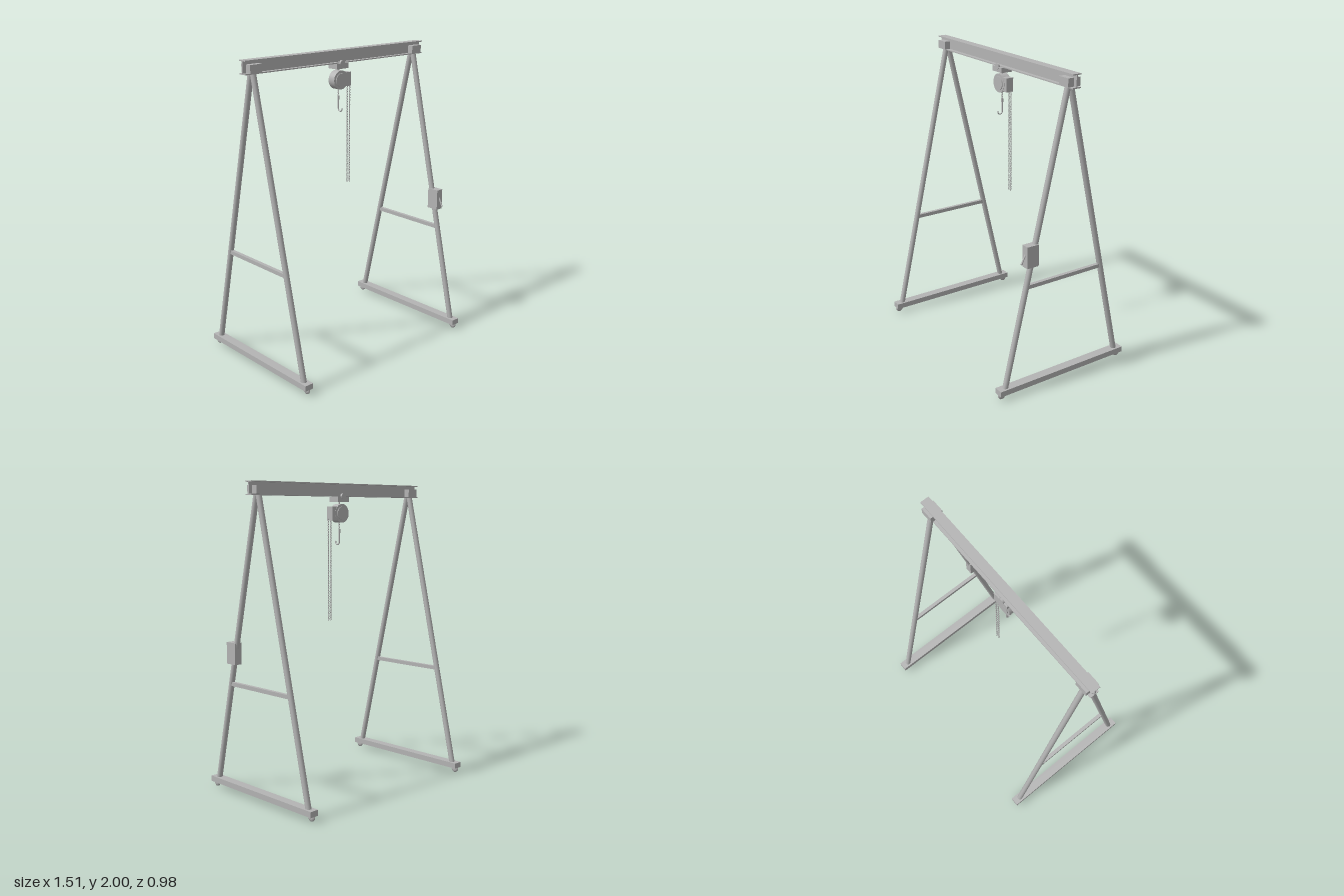
import * as THREE from 'three';

const steel = new THREE.MeshStandardMaterial({ color: 0xb4b4b4 });
steel.name = 'grey steel';

function add(parent, name, geometry, x = 0, y = 0, z = 0) {
  const mesh = new THREE.Mesh(geometry, steel);
  mesh.name = name;
  mesh.position.set(x, y, z);
  parent.add(mesh);
  return mesh;
}

const box = (w, h, d) => new THREE.BoxGeometry(w, h, d);

// Round bar between two points
function bar(parent, name, a, b, radius, sides = 20) {
  const dir = b.clone().sub(a);
  const mid = a.clone().add(b).multiplyScalar(0.5);
  const mesh = add(parent, name, new THREE.CylinderGeometry(radius, radius, dir.length(), sides), mid.x, mid.y, mid.z);
  mesh.quaternion.setFromUnitVectors(new THREE.Vector3(0, 1, 0), dir.normalize());
  return mesh;
}

const V = (x, y, z) => new THREE.Vector3(x, y, z);

// Links hang downwards, each turned a quarter against the last
function chain(name, x, top, bottom) {
  const group = new THREE.Group();
  group.name = name;
  const geometry = new THREE.TorusGeometry(0.0045, 0.0017, 6, 12).scale(1, 1.9, 1);
  const count = Math.round((top - bottom) / 0.0165);
  const pitch = (top - bottom) / count;
  for (let i = 0; i < count; i++) {
    const link = add(group, 'chainLink', geometry, x, top - (i + 0.5) * pitch, 0);
    link.rotation.y = i % 2 ? Math.PI / 2 : 0;
  }
  return group;
}

function sideFrame(x) {
  const frame = new THREE.Group();
  frame.name = x > 0 ? 'leftFrame' : 'rightFrame';
  frame.position.x = x;
  add(frame, 'beamBracket', box(0.086, 0.052, 0.087), 0, 1.948, 0);
  add(frame, 'footRail', box(0.06, 0.037, 0.98), 0, 0.0525, 0);
  add(frame, 'crossBar', box(0.024, 0.025, 0.55), 0, 0.723, 0);
  // Tapered wheel rim, turned to roll along z
  const wheelGeometry = new THREE.LatheGeometry([
    [0, -0.01], [0.014, -0.01], [0.025, -0.004], [0.025, 0.004], [0.014, 0.01], [0, 0.01],
  ].map(([r, y]) => new THREE.Vector2(r, y)), 24).rotateZ(Math.PI / 2);
  for (const s of [-1, 1]) {
    bar(frame, 'leg', V(0, 0.06, s * 0.44), V(0, 1.935, s * 0.007), 0.0185);
    add(frame, 'wheel', wheelGeometry, 0, 0.025, s * 0.465);
  }
  return frame;
}

function hoist() {
  const group = new THREE.Group();
  group.name = 'hoist';
  // Trolley under the beam, with its roller
  add(group, 'trolley', box(0.1, 0.033, 0.08), 0, 1.8975, 0);
  for (const s of [-1, 1]) {
    add(group, 'trolleyRoller', new THREE.CylinderGeometry(0.02, 0.02, 0.013, 20).rotateX(Math.PI / 2), 0, 1.916, s * 0.0365);
  }
  bar(group, 'hangerRod', V(0, 1.885, 0), V(0, 1.86, 0), 0.006, 12);
  // Drum with a raised cover ring on both faces
  add(group, 'drum', new THREE.CylinderGeometry(0.061, 0.061, 0.054, 32).rotateX(Math.PI / 2), 0, 1.807, 0);
  for (const s of [-1, 1]) {
    add(group, 'drumCover', new THREE.CylinderGeometry(0.044, 0.044, 0.006, 32).rotateX(Math.PI / 2), 0, 1.807, s * 0.029);
  }
  add(group, 'gearBox', box(0.06, 0.09, 0.05), 0.057, 1.807, 0);
  // Load chain, swivel and hook
  group.add(chain('loadChain', 0, 1.75, 1.7));
  add(group, 'hookSwivel', new THREE.CylinderGeometry(0.007, 0.007, 0.024, 12), 0, 1.692, 0);
  const points = [V(0, 1.685, 0), V(0, 1.65, 0)];
  for (let i = 0; i <= 8; i++) {
    const a = (i / 8) * Math.PI * 1.05;
    points.push(V(0, 1.62 - 0.017 * Math.sin(a), 0.017 - 0.017 * Math.cos(a)));
  }
  add(group, 'hook', new THREE.TubeGeometry(new THREE.CatmullRomCurve3(points), 40, 0.0042, 8));
  add(group, 'hookTip', new THREE.SphereGeometry(0.0042, 8, 6), points[10].x, points[10].y, points[10].z);
  // Hand chain loop
  group.add(chain('handChainInner', 0.079, 1.77, 1.108));
  group.add(chain('handChainOuter', 0.099, 1.77, 1.108));
  return group;
}

function winch() {
  const group = new THREE.Group();
  group.name = 'controlBox';
  add(group, 'housing', box(0.052, 0.14, 0.084), 0.687, 0.925, 0.257);
  bar(group, 'lever', V(0.687, 0.938, 0.295), V(0.687, 0.885, 0.322), 0.0055, 10);
  add(group, 'leverTip', new THREE.SphereGeometry(0.007, 10, 8), 0.687, 0.885, 0.322);
  return group;
}

export function createModel() {
  const model = new THREE.Group();
  model.name = 'gantryCrane';

  // I-section beam extruded along x
  const s = new THREE.Shape();
  const w = 0.03, t = 0.0035, f = 0.007, h = 0.0425;
  [[-w, -h], [w, -h], [w, f - h], [t, f - h], [t, h - f], [w, h - f], [w, h], [-w, h], [-w, h - f], [-t, h - f], [-t, f - h], [-w, f - h]]
    .forEach(([x, y], i) => (i ? s.lineTo(x, y) : s.moveTo(x, y)));
  const beam = new THREE.ExtrudeGeometry(s, { depth: 1.51, bevelEnabled: false });
  beam.translate(0, 0, -0.755).rotateY(Math.PI / 2);
  add(model, 'topBeam', beam, 0, 2 - h, 0);

  for (const side of [-1, 1]) model.add(sideFrame(side * 0.687));
  model.add(hoist(), winch());
  return model;
}
